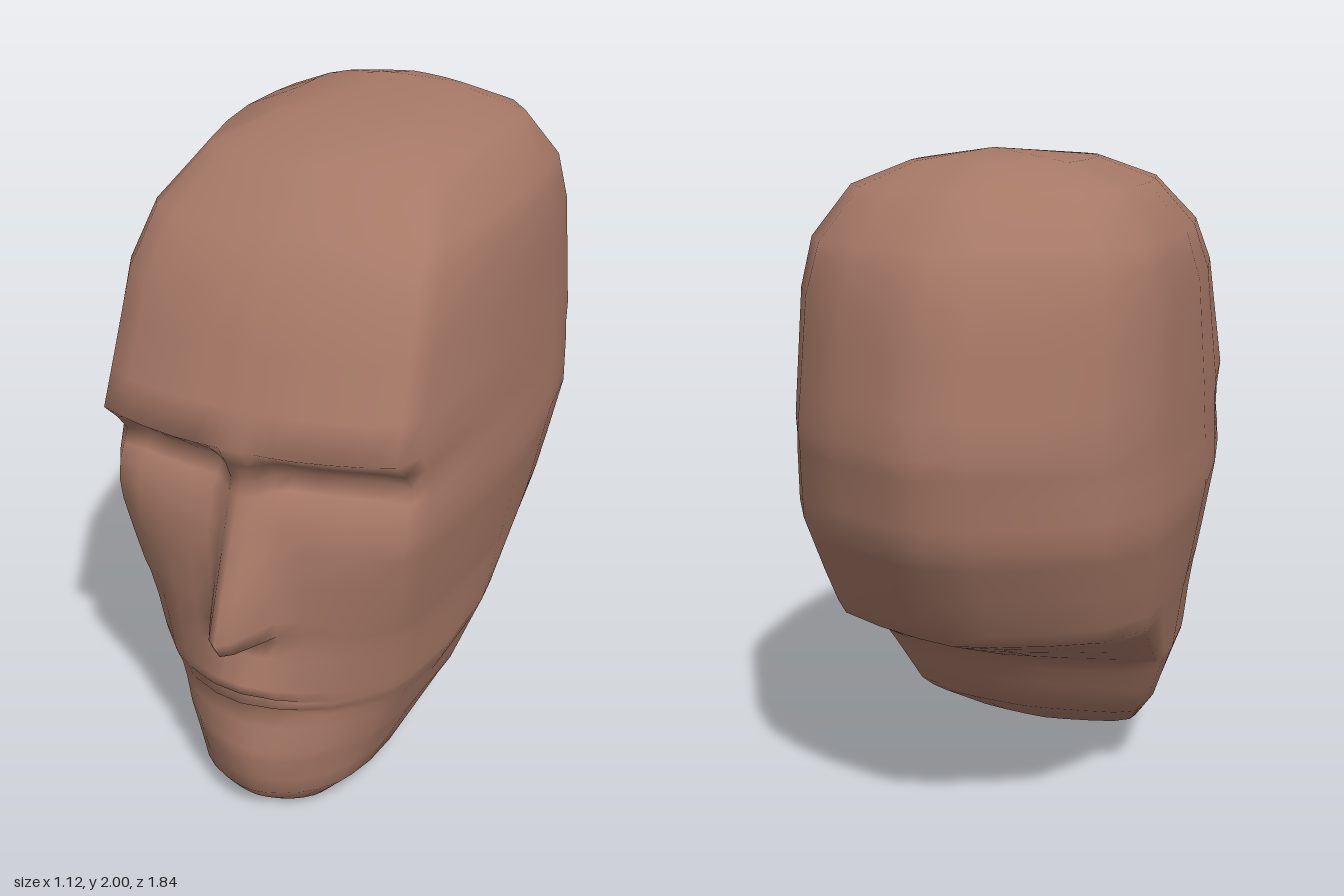
import * as THREE from 'three';

// Linear lookup in rows of [key, value, value...]
function lookup(rows, key, column = 1) {
  if (key <= rows[0][0]) return rows[0][column];
  for (let i = 1; i < rows.length; i++) {
    const a = rows[i - 1], b = rows[i];
    if (key <= b[0]) return a[column] + (b[column] - a[column]) * (key - a[0]) / (b[0] - a[0]);
  }
  return rows[rows.length - 1][column];
}

// Outline by height: y, half width, front z, back z, z of widest point, roundness of the front
const outline = [
  [0.00, 0.11, 0.66, 0.52, 0.59, 1],
  [0.035, 0.20, 0.70, 0.38, 0.52, 1],
  [0.09, 0.29, 0.745, 0.18, 0.36, 0.95],
  [0.22, 0.365, 0.77, -0.03, 0.14, 0.85],
  [0.26, 0.39, 0.765, -0.07, 0.10, 0.8],
  [0.41, 0.445, 0.735, -0.16, 0.04, 0.65],
  [0.46, 0.465, 0.745, -0.20, 0.03, 0.6],
  [0.67, 0.50, 0.74, -0.68, 0.00, 0.35],
  [0.74, 0.515, 0.74, -0.74, 0.00, 0.25],
  [1.00, 0.56, 0.735, -0.88, 0.00, 0],
  [1.14, 0.555, 0.73, -0.90, 0.00, 0],
  [1.20, 0.55, 0.755, -0.91, 0.00, 0],
  [1.26, 0.55, 0.79, -0.92, 0.00, 0],
  [1.62, 0.53, 0.64, -0.85, -0.03, 0.1],
  [1.76, 0.50, 0.53, -0.78, -0.08, 0.2],
  [1.90, 0.40, 0.34, -0.63, -0.14, 0.4],
  [1.965, 0.24, 0.17, -0.48, -0.17, 0.6],
];

// Half cross-section from front to back: x fraction, z when square, z when round
const section = [
  [0, 1, 1], [0.06, 1, 0.995], [0.13, 0.995, 0.985], [0.2, 0.995, 0.97],
  [0.33, 0.985, 0.93], [0.5, 0.96, 0.86], [0.65, 0.93, 0.76], [0.79, 0.89, 0.62],
  [0.86, 0.79, 0.5], [0.945, 0.4, 0.3], [1, 0, 0],
  [0.985, -0.35, -0.35], [0.95, -0.58, -0.58], [0.78, -0.77, -0.77],
  [0.5, -0.88, -0.88], [0.22, -0.96, -0.96], [0, -1, -1],
];

// Relief of the features by height, and how each fades sideways
const noseHeight = [[0.64, 0], [0.67, 0.15], [0.72, 0.18], [1.14, 0]];
const noseFade = [[0, 1], [0.3, 0.84], [0.65, 0.42], [1, 0]];
const socketDepth = [[0.94, 0], [1.0, 0.02], [1.06, 0.03], [1.14, 0.10], [1.2, 0.05], [1.25, 0]];
const socketFade = [[0.03, 0], [0.1, 1], [0.36, 1], [0.46, 0.5], [0.52, 0]];
const lipHeight = [[0.41, 0], [0.435, 0.04], [0.455, 0.01], [0.468, 0.035], [0.5, 0.04], [0.58, 0]];
const lipFade = [[0, 1], [0.1, 0.8], [0.19, 0]];

const levels = [0, 0.035, 0.09, 0.15, 0.22, 0.26, 0.34, 0.41, 0.435, 0.455, 0.468, 0.5, 0.58, 0.64, 0.67, 0.72,
  0.83, 0.94, 1.0, 1.06, 1.1, 1.14, 1.2, 1.26, 1.36, 1.5, 1.62, 1.7, 1.76, 1.84, 1.9, 1.965];

function headPoint(y, [fraction, square, round], side) {
  const [w, front, back, middle, roundness] = [1, 2, 3, 4, 5].map((c) => lookup(outline, y, c));
  const x = w * fraction;
  const t = square + (round - square) * roundness;
  let z = t >= 0 ? middle + t * (front - middle) : middle - t * (back - middle);
  let lowered = y;
  if (t > 0.3) {
    const noseHalf = 0.11 - 0.05 * THREE.MathUtils.clamp((y - 0.72) / 0.4, 0, 1);
    z += lookup(noseHeight, y) * lookup(noseFade, x / noseHalf);
    z -= lookup(socketDepth, y) * lookup(socketFade, x);
    z += lookup(lipHeight, y) * lookup(lipFade, x);
    // Mouth corners turn down
    if (y > 0.4 && y < 0.52) lowered -= Math.min(x * x, 0.03) * 0.9;
  }
  return [side * x, lowered, z];
}

function headGeometry() {
  const positions = [], index = [];
  const last = section.length - 1;
  const count = 2 * last;
  for (const y of levels) {
    for (let i = 0; i < count; i++) {
      const mirrored = i > last;
      positions.push(...headPoint(y, section[mirrored ? count - i : i], mirrored ? -1 : 1));
    }
  }
  for (let r = 0; r < levels.length - 1; r++) {
    for (let i = 0; i < count; i++) {
      const j = (i + 1) % count;
      const a = r * count + i, b = r * count + j;
      index.push(a, b, b + count, a, b + count, a + count);
    }
  }
  // Close the chin and the crown
  const chin = positions.length / 3, crown = chin + 1, top = (levels.length - 1) * count;
  positions.push(0, 0, 0.6, 0, 2, -0.31);
  for (let i = 0; i < count; i++) {
    const j = (i + 1) % count;
    index.push(chin, j, i, top + i, top + j, crown);
  }
  const geometry = new THREE.BufferGeometry();
  geometry.setAttribute('position', new THREE.Float32BufferAttribute(positions, 3));
  geometry.setIndex(index);
  geometry.computeVertexNormals();
  return geometry;
}

export function createModel() {
  const skin = new THREE.MeshStandardMaterial({ color: 0xa67866 });
  skin.name = 'skin';
  const head = new THREE.Mesh(headGeometry(), skin);
  head.name = 'head';
  const group = new THREE.Group();
  group.name = 'headModel';
  group.add(head);
  return group;
}
